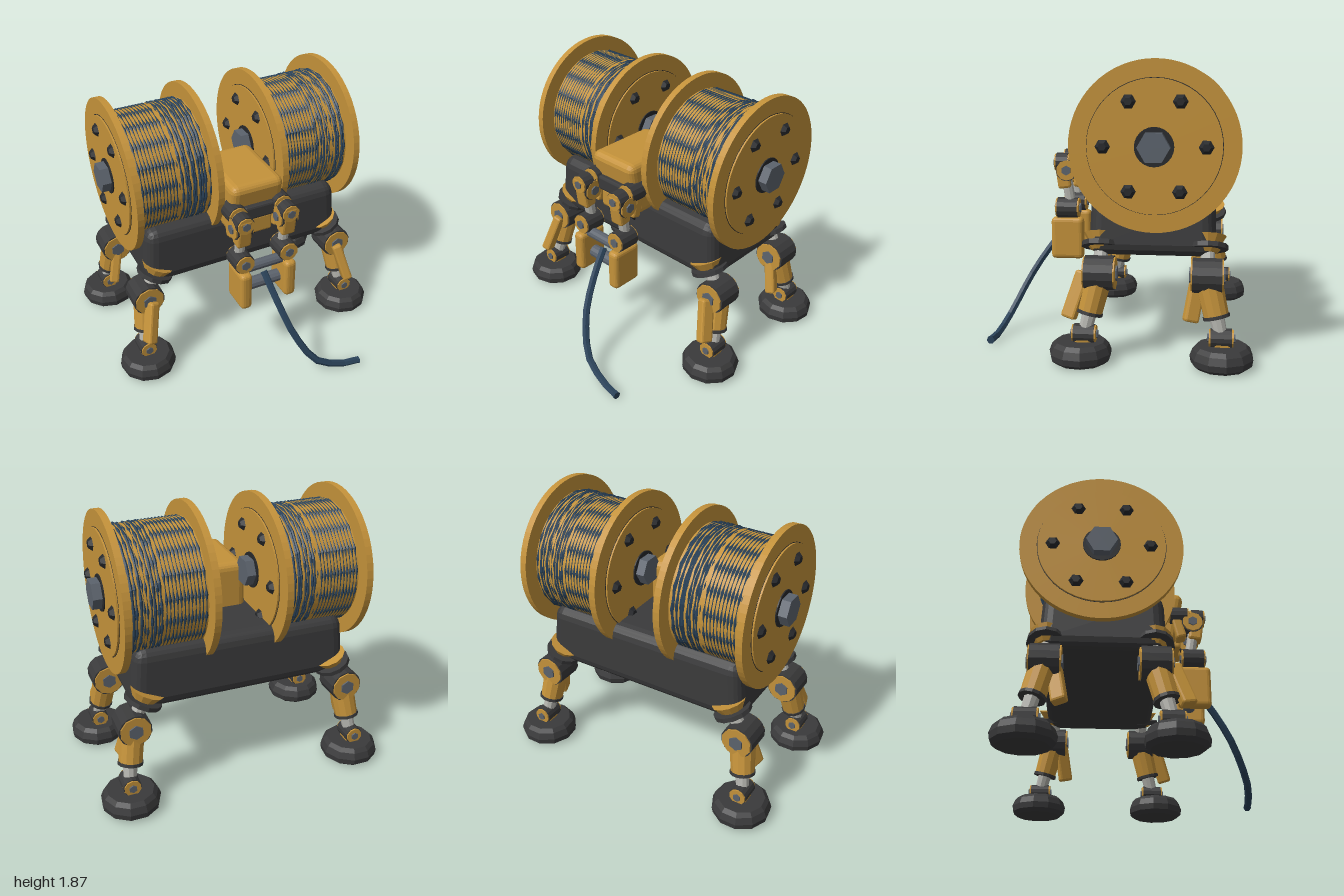
import * as THREE from 'three';
import { RoundedBoxGeometry } from 'three/addons/geometries/RoundedBoxGeometry.js';

const mat = (name, color) => {
  const m = new THREE.MeshStandardMaterial({ color, flatShading: true });
  m.name = name;
  return m;
};

export function createModel() {
  const gold = mat('ochre paint', 0xc4923a);
  const dark = mat('charcoal', 0x3a3a3b);
  const blue = mat('navy cable', 0x2a4259);
  const steel = mat('blue steel', 0x5c636d);
  const chrome = mat('pale metal', 0xb4b4ae);
  const black = mat('black bolt', 0x26282b);

  const root = new THREE.Group();
  root.name = 'cableSpoolRobot';
  const V = (x, y, z) => new THREE.Vector3(x, y, z);

  const group = (name, parent, p) => {
    const g = new THREE.Group();
    g.name = name;
    if (p) g.position.copy(p);
    parent.add(g);
    return g;
  };
  const add = (name, geo, m, parent, p) => {
    const mesh = new THREE.Mesh(geo, m);
    mesh.name = name;
    if (p) mesh.position.copy(p);
    parent.add(mesh);
    return mesh;
  };
  // Cylinder running from a to b
  const rod = (name, a, b, ra, rb, m, parent, sides = 10) => {
    const d = b.clone().sub(a);
    const mesh = add(name, new THREE.CylinderGeometry(rb, ra, d.length(), sides), m, parent, a.clone().lerp(b, 0.5));
    mesh.quaternion.setFromUnitVectors(V(0, 1, 0), d.normalize());
    return mesh;
  };
  // Rounded bar running from a to b
  const bar = (name, a, b, w, t, m, parent) => {
    const d = b.clone().sub(a);
    const mesh = add(name, new RoundedBoxGeometry(w, d.length(), t, 1, 0.015), m, parent, a.clone().lerp(b, 0.5));
    mesh.quaternion.setFromUnitVectors(V(0, 1, 0), d.normalize());
    return mesh;
  };
  // Pivot: dark barrel with ochre ends and a through bolt, along z
  const joint = (name, p, r, len, parent) => {
    const g = group(name, parent, p);
    const layer = (n, rad, l, m, sides) =>
      add(n, new THREE.CylinderGeometry(rad, rad, l, sides).rotateX(Math.PI / 2), m, g);
    layer('barrel', r, len, dark, 14);
    layer('endCaps', r * 0.93, len + 0.02, gold, 10);
    layer('bolt', r * 0.45, len + 0.04, steel, 6);
    return g;
  };

  // Body: rounded block, slightly narrower at the top
  const bodyGeo = new RoundedBoxGeometry(1.49, 0.42, 0.79, 2, 0.08);
  const bp = bodyGeo.attributes.position;
  for (let i = 0; i < bp.count; i++) {
    const k = 1 - 0.04 * Math.max(0, (bp.getY(i) + 0.1) / 0.31);
    bp.setX(i, bp.getX(i) * k);
    bp.setZ(i, bp.getZ(i) * k);
  }
  add('body', bodyGeo, dark, root, V(0, 0.87, -0.24));

  // Spools
  let seed = 7;
  const rnd = () => (seed = (seed * 16807) % 2147483647) / 2147483647 - 0.5;
  const disc = (r, t, n) => new THREE.CylinderGeometry(r, r, t, n).rotateZ(Math.PI / 2);
  for (const s of [-1, 1]) {
    const g = group(s > 0 ? 'leftSpool' : 'rightSpool', root, V(s * 0.513, 1.35, -0.26));
    add('drum', disc(0.416, 0.54, 64), gold, g);
    for (const e of [-1, 1]) {
      add('flange', disc(0.52, 0.045, 64), gold, g, V(e * 0.277, 0, 0));
      add('flangeSeam', disc(0.411, 0.006, 48), black, g, V(e * 0.298, 0, 0));
      add('flangePlate', disc(0.407, 0.02, 48), gold, g, V(e * 0.302, 0, 0));
      add('hubWasher', disc(0.12, 0.02, 24), black, g, V(e * 0.31, 0, 0));
      add('hubNut', disc(0.1, 0.07, 6), steel, g, V(e * 0.345, 0, 0));
      for (let k = 0; k < 6; k++) {
        const a = (k * Math.PI) / 3;
        const bolt = add('flangeBolt', new THREE.CylinderGeometry(0.025, 0.05, 0.03, 6), black, g,
          V(e * 0.323, Math.sin(a) * 0.31, Math.cos(a) * 0.31));
        bolt.rotation.z = (-e * Math.PI) / 2;
      }
    }
    // Cable turns: faceted rings, tidy on one half and uneven on the other
    for (let i = 0; i < 22; i++) {
      const messy = i > 11;
      const ring = new THREE.TorusGeometry(0.4135 + (messy ? rnd() * 0.008 : 0), 0.0105, 5, 18);
      ring.rotateZ(messy ? rnd() * 3 : Math.PI / 18).rotateY(Math.PI / 2);
      const coil = add('cableTurn', ring, blue, g, V(-0.24 + i * 0.0229, 0, 0));
      if (messy) coil.rotation.set(0, rnd() * 0.04, rnd() * 0.04);
    }
  }

  // Head: block whose front leans back towards the chin
  const headGeo = new RoundedBoxGeometry(0.38, 0.39, 0.53, 2, 0.05);
  const hp = headGeo.attributes.position;
  for (let i = 0; i < hp.count; i++) {
    if (hp.getZ(i) > 0) hp.setZ(i, hp.getZ(i) - 0.06 * Math.max(0, 0.1 - hp.getY(i)) / 0.3);
  }
  add('head', headGeo, gold, root, V(0, 1.19, 0.06));
  add('visor', new RoundedBoxGeometry(0.22, 0.1, 0.05, 1, 0.015), dark, root, V(0, 1.18, 0.32));
  add('chin', new RoundedBoxGeometry(0.22, 0.13, 0.06, 1, 0.015), gold, root, V(0, 1.055, 0.28));

  // Arms with paddle grippers
  for (const s of [-1, 1]) {
    const g = group(s > 0 ? 'leftArm' : 'rightArm', root);
    const P = (y, z, x = 0.165) => V(s * x, y, z);
    joint('shoulder', P(1.195, 0.29), 0.07, 0.12, g);
    bar('shoulderLink', P(1.22, 0.26), P(1.02, 0.31), 0.11, 0.07, gold, g);
    bar('upperArm', P(1.23, 0.43), P(1.01, 0.40), 0.1, 0.09, gold, g);
    joint('elbow', P(1.135, 0.385), 0.075, 0.11, g).rotation.y = Math.PI / 2;
    joint('elbowPivot', P(1.185, 0.42), 0.065, 0.08, g);
    rod('forearm', P(1.06, 0.39), P(0.9, 0.365), 0.036, 0.036, chrome, g);
    joint('wrist', P(0.87, 0.385), 0.072, 0.14, g);
    add('gripper', new RoundedBoxGeometry(0.085, 0.29, 0.225, 2, 0.03), gold, g, P(0.66, 0.388, 0.168));
    rod('neckStrut', P(0.98, 0.25, 0.04), P(0.84, 0.12, 0.04), 0.014, 0.014, black, g, 6);
  }
  rod('upperRoller', V(-0.13, 0.805, 0.41), V(0.13, 0.805, 0.41), 0.038, 0.038, steel, root, 12);
  rod('lowerRoller', V(-0.14, 0.635, 0.385), V(0.14, 0.635, 0.385), 0.045, 0.045, steel, root, 12);

  // Loose cable paid out between the rollers
  const path = new THREE.CatmullRomCurve3([
    V(0, 0.73, 0.41), V(0.02, 0.62, 0.5), V(0.06, 0.45, 0.62), V(0.1, 0.33, 0.69),
    V(0.23, 0.12, 0.79), V(0.43, 0.035, 0.83), V(0.55, 0.03, 0.845)]);
  add('looseCable', new THREE.TubeGeometry(path, 10, 0.025, 6), blue, root);
  rod('cableTip', V(0.52, 0.03, 0.843), V(0.555, 0.03, 0.846), 0.022, 0.028, blue, root, 6);

  // Legs: s picks the side, d is +1 for the front pair and -1 for the back pair
  const footProfile = [[0, 0.006], [0.16, 0.006], [0.19, 0.03], [0.197, 0.07], [0.18, 0.115], [0.155, 0.14], [0, 0.142]]
    .map(([x, y]) => new THREE.Vector2(x, y));
  for (const s of [-1, 1]) for (const d of [-1, 1]) {
    const g = group((d > 0 ? 'front' : 'back') + (s > 0 ? 'Left' : 'Right') + 'Leg', root);
    const z = d > 0 ? 0.08 : -0.585;
    const P = (x, y, dz) => V(s * x, y, z + dz);
    const hip = P(0.67, 0.72, 0), knee = P(0.75, 0.56, 0), shin = P(0.787, 0.31, d * 0.06);
    const ankle = P(0.805, 0.185, d * 0.09);
    const out = V(s * 0.4, -0.9, 0).normalize();
    const along = (t) => hip.clone().addScaledVector(out, t);
    rod('hipDome', along(-0.07), along(0), 0.115, 0.07, gold, g, 12);
    rod('hipRim', along(-0.015), along(0.015), 0.125, 0.125, dark, g, 12);
    rod('hipSocket', along(0.01), along(0.035), 0.085, 0.06, gold, g, 10);
    rod('thigh', hip, knee, 0.045, 0.045, chrome, g);
    joint('knee', knee, 0.11, 0.18, g);
    rod('shin', P(0.755, 0.52, d * 0.01), shin, 0.085, 0.078, gold, g, 12);
    rod('shinRim', shin.clone().lerp(knee, 0.06), shin.clone().lerp(knee, -0.02), 0.084, 0.084, dark, g, 12);
    bar('shinGuard', P(0.735, 0.56, d > 0 ? 0.1 : 0.05), P(0.805, 0.28, d > 0 ? 0.19 : 0.1), 0.095, 0.07, gold, g);
    rod('ankleRod', shin, ankle, 0.048, 0.042, chrome, g);
    joint('ankle', ankle, 0.06, 0.13, g);
    bar('ankleBracket', P(0.805, 0.19, d * 0.09), P(0.805, 0.12, d * 0.1), 0.1, 0.1, gold, g);
    add('foot', new THREE.LatheGeometry(footProfile, 11), dark, g, P(0.804, 0, d * 0.11 + (d > 0 ? 0.005 : 0.015)));
  }
  return root;
}
